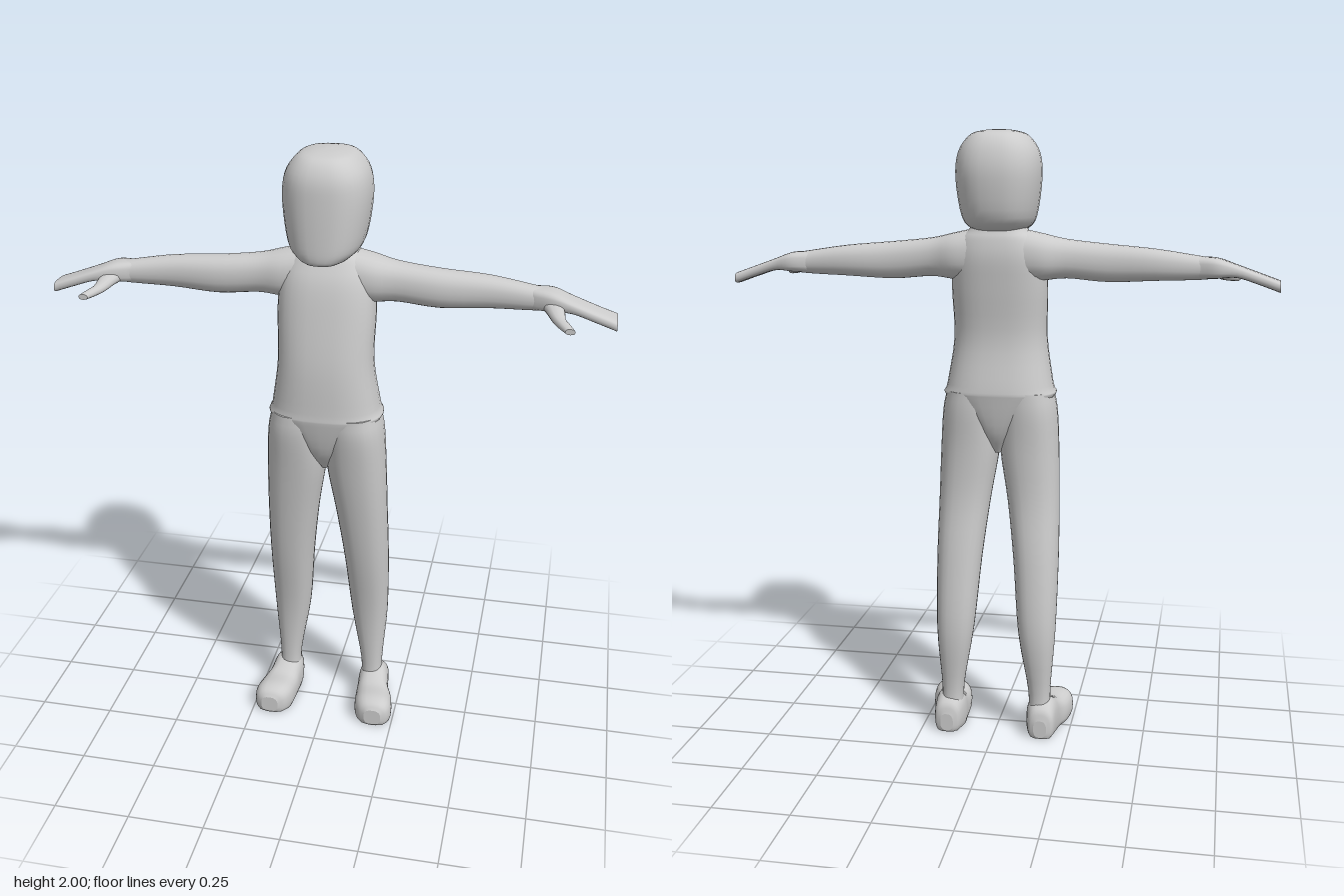
import * as THREE from 'three';

const clay = new THREE.MeshStandardMaterial({ color: 0xcccccc });
clay.name = 'clayGrey';

// Smooth tube through rounded cross-sections along one axis.
// Section: [position on axis, centre u, centre v, radius u, radius v]
// Axis y uses u = z, v = x; axis x uses u = y, v = z; axis z uses u = x, v = y.
function loft(axis, sections, { sides = 24, power = 2.3, steps = 4, floor = -1 } = {}) {
  const centres = new THREE.CatmullRomCurve3(
    sections.map(s => new THREE.Vector3(s[0], s[1], s[2])), false, 'catmullrom');
  const radii = new THREE.CatmullRomCurve3(
    sections.map(s => new THREE.Vector3(s[3], s[4], 0)), false, 'catmullrom');
  const rows = (sections.length - 1) * steps;
  const pos = [], index = [];
  const put = (a, u, v) => {
    const p = axis === 'y' ? [v, a, u] : axis === 'x' ? [a, u, v] : [u, v, a];
    pos.push(p[0], Math.max(p[1], floor), p[2]);
  };
  const bend = t => Math.sign(t) * Math.abs(t) ** (2 / power);
  const ring = i => {
    const c = centres.getPoint(i / rows), r = radii.getPoint(i / rows);
    for (let j = 0; j < sides; j++) {
      const t = (j / sides) * Math.PI * 2;
      put(c.x, c.y + r.x * bend(Math.cos(t)), c.z + r.y * bend(Math.sin(t)));
    }
    return c;
  };
  for (let i = 0; i <= rows; i++) ring(i);
  for (let i = 0; i < rows; i++) {
    for (let j = 0; j < sides; j++) {
      const k = (j + 1) % sides;
      const a = i * sides + j, b = i * sides + k, c = b + sides, d = a + sides;
      index.push(a, b, c, a, c, d);
    }
  }
  // flat end caps with their own vertices
  for (const end of [0, rows]) {
    const start = pos.length / 3;
    const c = ring(end);
    put(c.x, c.y, c.z);
    for (let j = 0; j < sides; j++) {
      const a = start + j, b = start + (j + 1) % sides;
      if (end) index.push(start + sides, a, b);
      else index.push(start + sides, b, a);
    }
  }
  const geo = new THREE.BufferGeometry();
  geo.setAttribute('position', new THREE.Float32BufferAttribute(pos, 3));
  geo.setIndex(index);
  geo.computeVertexNormals();
  return geo;
}

// Copy across x = 0, keeping faces outward
function mirrored(geo) {
  const copy = geo.clone();
  copy.scale(-1, 1, 1);
  const id = copy.index.array;
  for (let i = 0; i < id.length; i += 3) [id[i + 1], id[i + 2]] = [id[i + 2], id[i + 1]];
  copy.computeVertexNormals();
  return copy;
}

export function createModel() {
  const model = new THREE.Group();
  model.name = 'figure';
  const add = (name, geo) => {
    const mesh = new THREE.Mesh(geo, clay);
    mesh.name = name;
    model.add(mesh);
  };
  const addPair = (name, geo) => {
    add('left' + name, geo);
    add('right' + name, mirrored(geo));
  };

  // Head with a flat face and a chin pushed forward
  add('head', loft('y', [
    [1.677, 0.07, 0, 0.075, 0.055],
    [1.69, 0.033, 0, 0.119, 0.085],
    [1.73, 0.008, 0, 0.147, 0.116],
    [1.85, -0.003, 0, 0.157, 0.134],
    [1.93, -0.001, 0, 0.148, 0.126],
    [1.98, 0, 0, 0.117, 0.092],
    [1.995, 0, 0, 0.07, 0.055],
    [2.0, 0, 0, 0.012, 0.01],
  ], { sides: 32, power: 2.5 }));

  // Torso, from the crotch wedge up into the neck
  add('torso', loft('y', [
    [0.965, 0.015, 0, 0.05, 0.012],
    [1.04, 0.02, 0, 0.095, 0.07],
    [1.15, 0.023, 0, 0.122, 0.178],
    [1.19, 0.023, 0, 0.123, 0.174],
    [1.34, 0.033, 0, 0.11, 0.152],
    [1.5, 0.015, 0, 0.106, 0.155],
    [1.6, 0.0, 0, 0.1, 0.148],
    [1.66, -0.01, 0, 0.083, 0.125],
    [1.69, -0.012, 0, 0.07, 0.095],
    [1.73, -0.012, 0, 0.06, 0.07],
  ], { sides: 32, power: 2.5 }));

  // Legs
  addPair('Leg', loft('y', [
    [0.05, -0.06, 0.15, 0.045, 0.04],
    [0.15, -0.06, 0.149, 0.042, 0.037],
    [0.36, -0.062, 0.139, 0.063, 0.062],
    [0.6, -0.028, 0.13, 0.078, 0.075],
    [0.8, 0.003, 0.116, 0.083, 0.086],
    [0.97, 0.018, 0.1, 0.098, 0.097],
    [1.1, 0.024, 0.095, 0.114, 0.094],
    [1.17, 0.024, 0.09, 0.115, 0.085],
  ]));

  // Feet, flat underneath and turned slightly outward
  addPair('Foot', loft('z', [
    [-0.127, 0.16, 0.035, 0.022, 0.03],
    [-0.113, 0.16, 0.045, 0.043, 0.058],
    [-0.06, 0.158, 0.05, 0.053, 0.08],
    [-0.01, 0.163, 0.04, 0.056, 0.07],
    [0.03, 0.172, 0.035, 0.064, 0.058],
    [0.09, 0.18, 0.035, 0.066, 0.06],
    [0.125, 0.184, 0.035, 0.053, 0.05],
    [0.141, 0.186, 0.035, 0.03, 0.03],
  ], { power: 2.6, floor: 0 }));

  // Arms
  addPair('Arm', loft('x', [
    [0.06, 1.612, -0.01, 0.085, 0.075],
    [0.14, 1.605, -0.008, 0.075, 0.075],
    [0.22, 1.6, -0.002, 0.062, 0.058],
    [0.35, 1.588, 0.002, 0.06, 0.053],
    [0.5, 1.585, -0.005, 0.05, 0.046],
    [0.64, 1.577, 0.002, 0.037, 0.038],
    [0.69, 1.577, 0.003, 0.03, 0.04],
  ]));

  // Mitten hands sloping down to a squared tip
  addPair('Hand', loft('x', [
    [0.63, 1.578, 0.002, 0.034, 0.036],
    [0.69, 1.577, 0.005, 0.032, 0.052],
    [0.75, 1.568, 0.015, 0.02, 0.05],
    [0.82, 1.545, 0.018, 0.018, 0.049],
    [0.885, 1.522, 0.016, 0.018, 0.05],
  ], { power: 3 }));

  // Thumbs reaching forward
  addPair('Thumb', loft('z', [
    [0.01, 0.675, 1.572, 0.03, 0.022],
    [0.06, 0.7, 1.56, 0.028, 0.018],
    [0.1, 0.715, 1.545, 0.02, 0.014],
    [0.13, 0.733, 1.538, 0.018, 0.012],
    [0.155, 0.75, 1.532, 0.015, 0.009],
  ], { sides: 12 }));

  return model;
}
